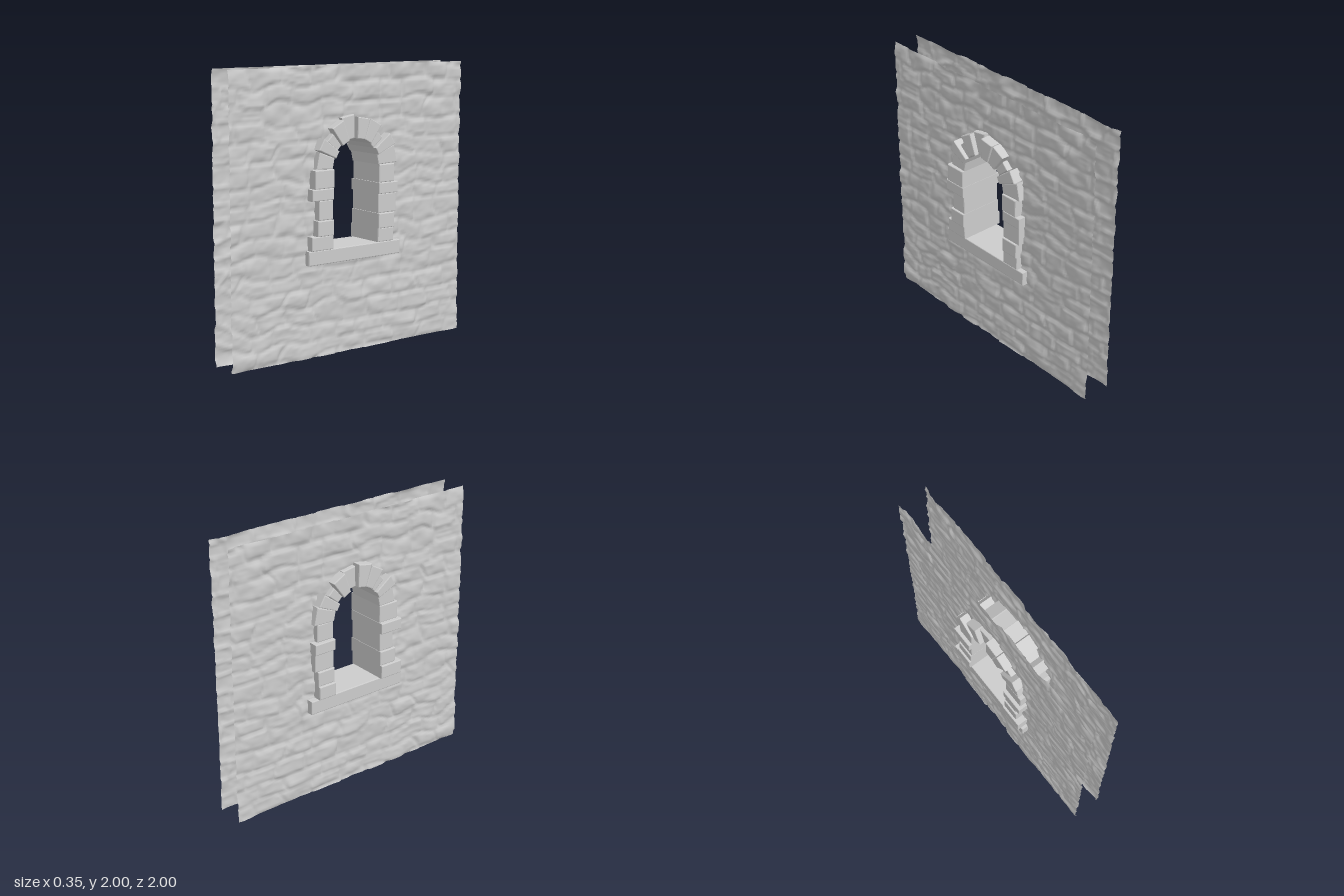
import * as THREE from 'three';

const stoneMat = new THREE.MeshStandardMaterial({ color: 0xcccccc });
const wallMat = new THREE.MeshStandardMaterial({ color: 0xcccccc, side: THREE.DoubleSide });

// Seeded hash and smooth value noise
const hash = (i, j) => {
  const s = Math.sin(i * 127.1 + j * 311.7) * 43758.5453;
  return s - Math.floor(s);
};
function noise(x, y) {
  const i = Math.floor(x), j = Math.floor(y);
  const u = THREE.MathUtils.smoothstep(x - i, 0, 1), v = THREE.MathUtils.smoothstep(y - j, 0, 1);
  const a = THREE.MathUtils.lerp(hash(i, j), hash(i + 1, j), u);
  const b = THREE.MathUtils.lerp(hash(i, j + 1), hash(i + 1, j + 1), u);
  return THREE.MathUtils.lerp(a, b, v);
}

// Relief of rough masonry: wavy courses, staggered joints and lumps
function relief(z, y) {
  const v = y / 0.125 + 0.7 * (noise(z * 5 + 9, y * 5) - 0.5);
  const row = Math.floor(v);
  const u = z / 0.24 + hash(row, 3) + 0.5 * (noise(z * 6, y * 6 + 20) - 0.5);
  const col = Math.floor(u);
  const edge = Math.min((0.5 - Math.abs(v - row - 0.5)) * 0.125, (0.5 - Math.abs(u - col - 0.5)) * 0.24);
  const face = THREE.MathUtils.smoothstep(edge, 0, 0.022);
  return face * (0.006 + 0.007 * hash(col, row)) + 0.013 * noise(z * 9, y * 16) + 0.006 * noise(z * 24, y * 36);
}

// Opening in the wall, its edge hidden behind the surround
function inOpening(z, y) {
  if (y > 1.3) return Math.hypot(z, y - 1.3) < 0.255;
  return y > 0.7 && Math.abs(z) < 0.255;
}

// One rough sheet of wall; side is +1 or -1 along x
function wallSheet(side) {
  const n = 120, step = 2 / n, pos = [], idx = [];
  for (let j = 0; j <= n; j++) {
    for (let i = 0; i <= n; i++) {
      const z = -1 + i * step, y = j * step;
      pos.push(side * (0.086 + relief(z, y)), y, z);
    }
  }
  for (let j = 0; j < n; j++) {
    for (let i = 0; i < n; i++) {
      if (inOpening(-1 + (i + 0.5) * step, (j + 0.5) * step)) continue;
      const a = j * (n + 1) + i, b = a + 1, c = a + n + 1, d = c + 1;
      if (side > 0) idx.push(a, c, b, b, c, d);
      else idx.push(a, b, c, b, d, c);
    }
  }
  const geo = new THREE.BufferGeometry();
  geo.setAttribute('position', new THREE.Float32BufferAttribute(pos, 3));
  geo.setIndex(idx);
  geo.computeVertexNormals();
  const mesh = new THREE.Mesh(geo, wallMat);
  mesh.name = side > 0 ? 'leftWallSheet' : 'rightWallSheet';
  return mesh;
}

// Chamfered block: outline in (z, y), running from x0 to x1
function stone(name, outline, x0, x1) {
  const b = 0.006;
  const shape = new THREE.Shape(outline.map(([z, y]) => new THREE.Vector2(z, y)));
  const geo = new THREE.ExtrudeGeometry(shape, {
    depth: x1 - x0 - 2 * b, bevelSize: b, bevelOffset: -b, bevelThickness: b, bevelSegments: 2,
  });
  geo.rotateY(-Math.PI / 2);
  geo.translate(x1 - b, 0, 0);
  const mesh = new THREE.Mesh(geo, stoneMat);
  mesh.name = name;
  return mesh;
}

const rect = (z0, z1, y0, y1) => [[z0, y0], [z1, y0], [z1, y1], [z0, y1]];

export function createModel() {
  const group = new THREE.Group();
  group.name = 'archedWindowWall';
  group.add(wallSheet(1), wallSheet(-1));

  // Sill
  group.add(stone('sill', rect(-0.4, 0.4, 0.655, 0.755), -0.155, 0.145));

  // Jambs: [bottom, top, outer edge at +z, outer edge at -z, x0, x1]
  const courses = [
    [0.755, 0.853, 0.38, 0.34, -0.18, 0.155],
    [0.853, 0.96, 0.335, 0.34, -0.165, 0.165],
    [0.962, 1.098, 0.32, 0.36, -0.155, 0.155],
    [1.098, 1.178, 0.38, 0.37, -0.175, 0.165],
    [1.18, 1.307, 0.36, 0.335, -0.15, 0.168],
  ];
  for (const [y0, y1, front, back, x0, x1] of courses) {
    group.add(stone('frontJambStone', rect(0.2, front, y0, y1), x0, x1));
    group.add(stone('backJambStone', rect(-back, -0.2, y0, y1), x0 + 0.01, x1 - 0.008));
  }

  // Arch: wedge stones around the spring centre, mirrored in z
  const angles = [1, 22.5, 38, 52, 71, 90];
  const radii = { 1: [0.335, 0.357, 0.31, 0.352, 0.364], [-1]: [0.365, 0.362, 0.305, 0.352, 0.348] };
  const depths = [[-0.15, 0.15], [-0.165, 0.17], [-0.14, 0.145], [-0.165, 0.165], [-0.165, 0.135]];
  const spring = 1.303;
  for (const side of [1, -1]) {
    for (let k = 0; k < 5; k++) {
      const at = (deg, r) => {
        const a = THREE.MathUtils.degToRad(deg);
        return [side * r * Math.cos(a), spring + r * Math.sin(a)];
      };
      const a0 = angles[k], a1 = angles[k + 1], r = radii[side][k];
      const outline = [at(a0, 0.2), at(a0 + 0.6, r), at(a1 - 0.6, r), at(a1, 0.2)];
      if (side < 0) outline.reverse();
      const [x0, x1] = depths[k];
      const shift = side < 0 && k === 4 ? 0.035 : 0;
      group.add(stone('archStone', outline, x0 + shift, x1 + shift));
    }
  }
  return group;
}
